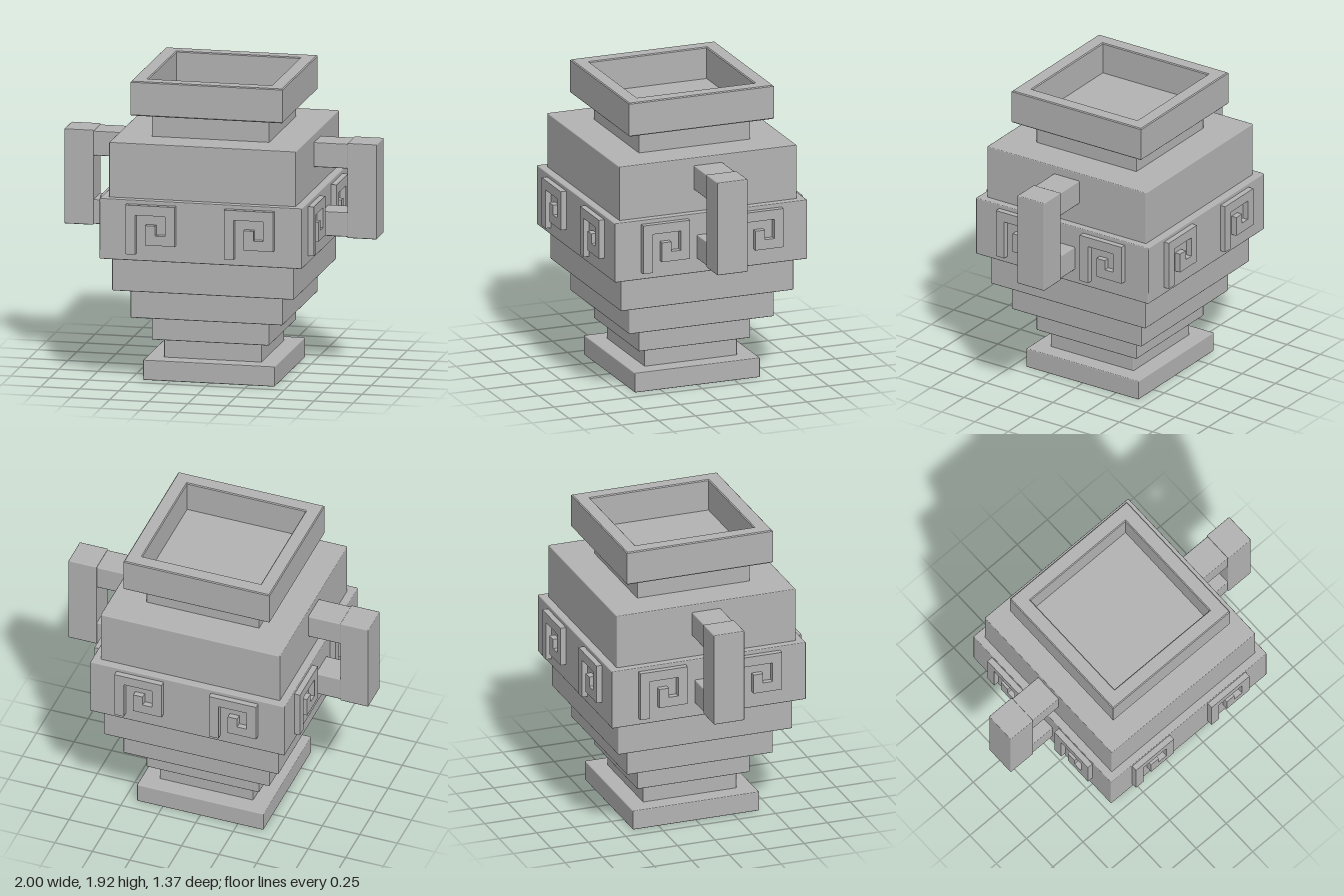
import * as THREE from 'three';
import { RoundedBoxGeometry } from 'three/addons/geometries/RoundedBoxGeometry.js';

export function createModel() {
  const model = new THREE.Group();
  model.name = 'squareVase';
  const stone = new THREE.MeshStandardMaterial({ color: 0xb2b2b2 });
  stone.name = 'grey stone';

  const add = (name, geometry, parent = model) => {
    const mesh = new THREE.Mesh(geometry, stone);
    mesh.name = name;
    parent.add(mesh);
    return mesh;
  };

  // Box with finely bevelled edges, given by its extents
  const block = (name, [x0, x1], [y0, y1], [z0, z1], parent) => {
    const geometry = new RoundedBoxGeometry(x1 - x0, y1 - y0, z1 - z0, 1, 0.006);
    geometry.translate((x0 + x1) / 2, (y0 + y1) / 2, (z0 + z1) / 2);
    return add(name, geometry, parent);
  };

  // Stepped body: name, half width, bottom, top
  const tiers = [
    ['foot', 0.422, 0, 0.128],
    ['stem', 0.312, 0.122, 0.256],
    ['lowerTier', 0.376, 0.25, 0.416],
    ['middleTier', 0.487, 0.41, 0.606],
    ['upperTier', 0.582, 0.6, 0.82],
    ['frieze', 0.648, 0.815, 1.202],
    ['shoulder', 0.598, 1.195, 1.552],
    ['neck', 0.376, 1.545, 1.712],
  ];
  for (const [name, r, y0, y1] of tiers) block(name, [-r, r], [y0, y1], [-r, r]);

  // Hollow square rim and the floor inside it
  const square = (Type, r) => new Type().moveTo(-r, -r).lineTo(r, -r).lineTo(r, r).lineTo(-r, r).closePath();
  const rimShape = square(THREE.Shape, 0.487);
  rimShape.holes.push(square(THREE.Path, 0.395));
  const rim = new THREE.ExtrudeGeometry(rimShape, {
    depth: 0.208, bevelEnabled: true, bevelThickness: 0.006, bevelSize: 0.006,
    bevelOffset: -0.006, bevelSegments: 1,
  });
  rim.rotateX(-Math.PI / 2).translate(0, 1.709, 0);
  add('rim', rim);
  add('rimFloor', new THREE.BoxGeometry(0.82, 0.012, 0.82).translate(0, 1.711, 0));

  // Handles on both sides
  for (const side of [1, -1]) {
    const handle = new THREE.Group();
    handle.name = side > 0 ? 'leftHandle' : 'rightHandle';
    block('handlePost', [0.812, 1], [0.9, 1.507], [-0.102, 0.102], handle);
    block('handleUpperBar', [0.58, 0.82], [1.343, 1.5], [-0.096, 0.096], handle);
    block('handleLowerBar', [0.63, 0.82], [0.906, 1.062], [-0.096, 0.096], handle);
    handle.rotation.y = side > 0 ? 0 : Math.PI;
    model.add(handle);
  }

  // Raised key pattern on a five by five grid, two to each face
  const unit = 0.063;
  const path = [[0, 0], [0, 5], [1, 5], [1, 1], [4, 1], [4, 3], [3, 3], [3, 2], [2, 2], [2, 4], [5, 4], [5, 0]];
  const keyShape = new THREE.Shape(path.map(([u, v]) => new THREE.Vector2((u - 2.5) * unit, (2.5 - v) * unit)));
  const key = new THREE.ExtrudeGeometry(keyShape, { depth: 0.045, bevelEnabled: false });
  ['front', 'left', 'back', 'right'].forEach((face, i) => {
    const keys = new THREE.Group();
    keys.name = face + 'Keys';
    for (const x of [-0.315, 0.315]) add('keyPattern', key, keys).position.set(x, 1.019, 0.64);
    keys.rotation.y = i * Math.PI / 2;
    model.add(keys);
  });

  return model;
}
